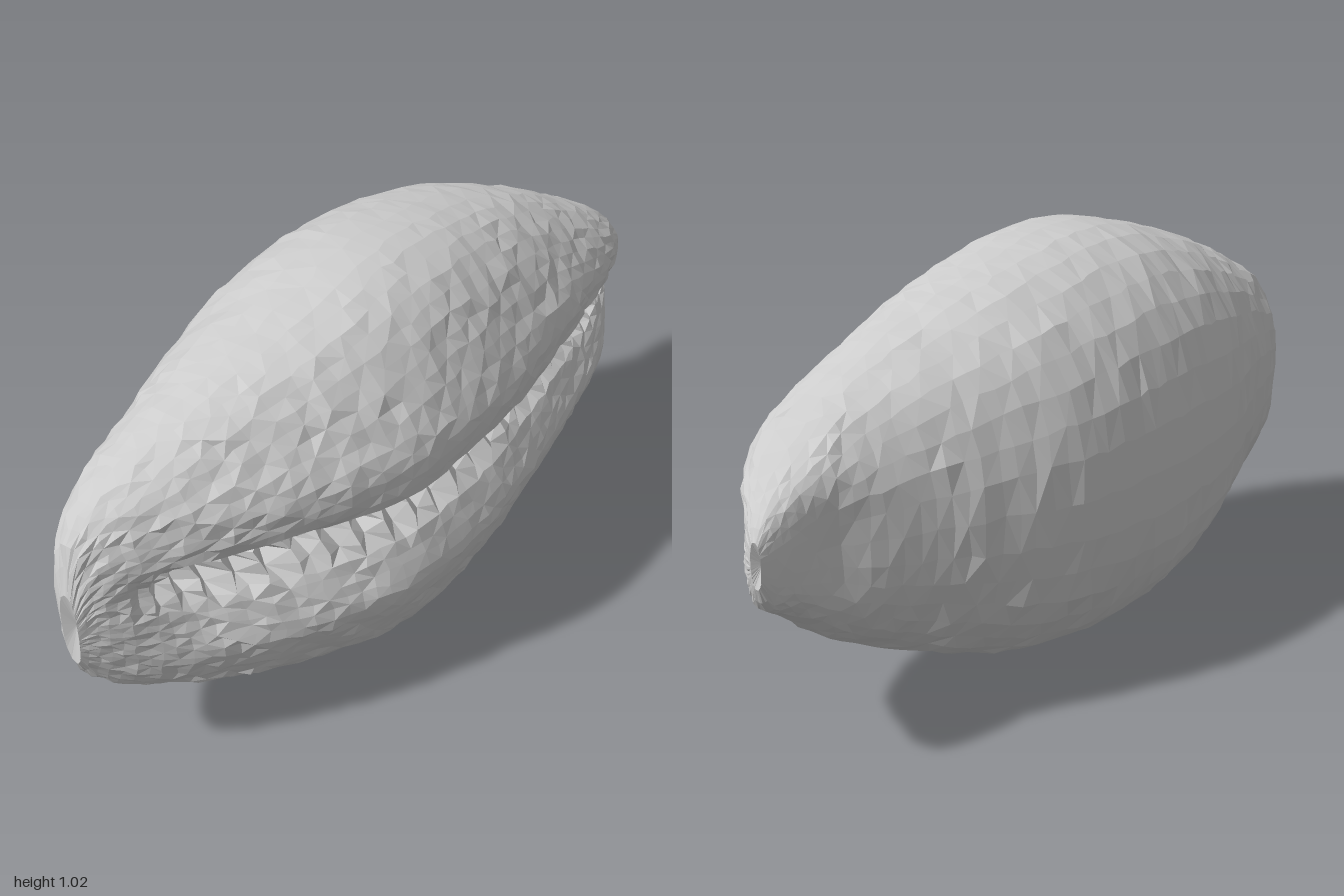
import * as THREE from 'three';

// Stations along the shell: x, top y, bottom y, front z, back z
const STATIONS = [
  [-1, 0.58, 0.39, 0.005, -0.045],
  [-0.97, 0.68, 0.33, 0.025, -0.09],
  [-0.9, 0.76, 0.26, 0.08, -0.15],
  [-0.8, 0.82, 0.2, 0.145, -0.19],
  [-0.6, 0.91, 0.12, 0.26, -0.255],
  [-0.35, 0.985, 0.045, 0.36, -0.34],
  [-0.15, 1.023, 0.005, 0.37, -0.37],
  [0.05, 1.015, 0.01, 0.355, -0.378],
  [0.3, 0.965, 0.055, 0.31, -0.345],
  [0.5, 0.89, 0.125, 0.265, -0.255],
  [0.65, 0.815, 0.195, 0.23, -0.175],
  [0.75, 0.76, 0.25, 0.2, -0.13],
  [0.85, 0.69, 0.33, 0.155, -0.1],
  [0.92, 0.645, 0.38, 0.095, -0.085],
  [0.97, 0.61, 0.41, 0.02, -0.07],
  [1, 0.57, 0.47, -0.03, -0.06],
];

// Smooth blend through the stations
function stationAt(x) {
  const last = STATIONS.length - 1;
  let i = 0;
  while (i < last - 1 && STATIONS[i + 1][0] < x) i++;
  const a = STATIONS[i], b = STATIONS[i + 1];
  const before = STATIONS[Math.max(i - 1, 0)], after = STATIONS[Math.min(i + 2, last)];
  const step = b[0] - a[0], t = (x - a[0]) / step;
  return a.map((v, k) => {
    const m0 = (b[k] - before[k]) / (b[0] - before[0]) * step;
    const m1 = (after[k] - v) / (after[0] - a[0]) * step;
    const t2 = t * t, t3 = t2 * t;
    return (2 * t3 - 3 * t2 + 1) * v + (t3 - 2 * t2 + t) * m0
      + (3 * t2 - 2 * t3) * b[k] + (t3 - t2) * m1;
  });
}

// Small repeatable unevenness in -1..1
function uneven(i, j) {
  const s = Math.sin(i * 127.1 + j * 311.7) * 43758.5453;
  return (s - Math.floor(s)) * 2 - 1;
}

const power = (v, p) => Math.sign(v) * Math.pow(Math.abs(v), p);
const ramp = THREE.MathUtils.smoothstep;
const bump = (v, width) => Math.exp(-(v * v) / (width * width));

function shellGeometry(rows = 64, sides = 56) {
  const points = [], index = [];
  for (let i = 0; i <= rows; i++) {
    const u = (i / rows) * 2 - 1;
    const x = u * (1.25 - 0.25 * u * u); // closer rows at the tips
    const [, top, bottom, front, back] = stationAt(x);
    const yc = (top + bottom) / 2, h = (top - bottom) / 2;
    const zc = back + (front - back) * 0.56;
    const collar = ramp(x, 0.65, 0.85);
    // The slit fades out at both tips
    const fade = ramp(x, -1, -0.75) * (1 - ramp(x, 0.9, 1)) * THREE.MathUtils.clamp(front / 0.18, 0, 1);
    const tooth = (i % 2 ? 0.02 : -0.015) + uneven(i, 1) * 0.012;
    const gap = i % 2 ? 0.035 : 0.07;
    const rough = 0.008 * Math.min(1, h / 0.35);
    for (let j = 0; j < sides; j++) {
      const t = (j / sides) * Math.PI * 2;
      const a = t - 0.6 * Math.sin(t); // closer spacing around the slit
      const c = Math.cos(a), s = Math.sin(a);
      const across = c > 0 ? (s > 0 ? 0.9 : 0.84) : 0.9;
      let y = yc + h * power(s, across);
      let z = zc;
      if (c > 0) {
        z += power(c, across) * (front - zc);
        // Swollen lips, sloping lower lip, overhung upper lip, toothed slit
        const lips = 0.025 * bump(y - 0.71, 0.08) + 0.01 * bump(y - 0.33, 0.06);
        const lower = 0.065 * ramp(y, 0.32, 0.53);
        const slit = gap * ramp(y, 0.46 + tooth, 0.54 + tooth);
        z += (lips - (lower + slit) * (1 - ramp(y, 0.545, 0.625))) * fade;
      } else {
        // Squarer, hollowed back behind the collar
        z += power(c, 0.9 - 0.3 * collar) * (zc - back);
        z += 0.03 * bump(x - 0.83, 0.09) * bump(y - 0.51, 0.12);
      }
      y += uneven(i, j) * rough * Math.abs(c) * 0.7;
      z += uneven(j + 5, i) * rough * Math.abs(s);
      points.push(x + (Math.abs(u) < 1 ? uneven(i + 9, j + 3) * rough : 0), y, z);
    }
  }
  for (let i = 0; i < rows; i++) {
    for (let j = 0; j < sides; j++) {
      const k = (j + 1) % sides;
      const a = i * sides + j, b = a + sides, c = (i + 1) * sides + k, d = i * sides + k;
      if ((i + j) % 2) index.push(a, b, c, a, c, d);
      else index.push(a, b, d, b, c, d);
    }
  }
  // Close both tips with slightly sunken fans
  for (const row of [0, rows]) {
    const [x, top, bottom, front, back] = STATIONS[row ? STATIONS.length - 1 : 0];
    const hub = points.length / 3;
    points.push(x * 0.98, (top + bottom) / 2, (front + back) / 2);
    for (let j = 0; j < sides; j++) {
      const a = row * sides + j, b = row * sides + ((j + 1) % sides);
      if (row) index.push(hub, b, a);
      else index.push(hub, a, b);
    }
  }
  const geometry = new THREE.BufferGeometry();
  geometry.setAttribute('position', new THREE.Float32BufferAttribute(points, 3));
  geometry.setIndex(index);
  geometry.computeVertexNormals();
  return geometry;
}

export function createModel() {
  const group = new THREE.Group();
  group.name = 'seashell';
  const material = new THREE.MeshStandardMaterial({
    color: 0xcccccc, flatShading: true, side: THREE.DoubleSide,
  });
  const shell = new THREE.Mesh(shellGeometry(), material);
  shell.name = 'shellBody';
  group.add(shell);
  return group;
}
